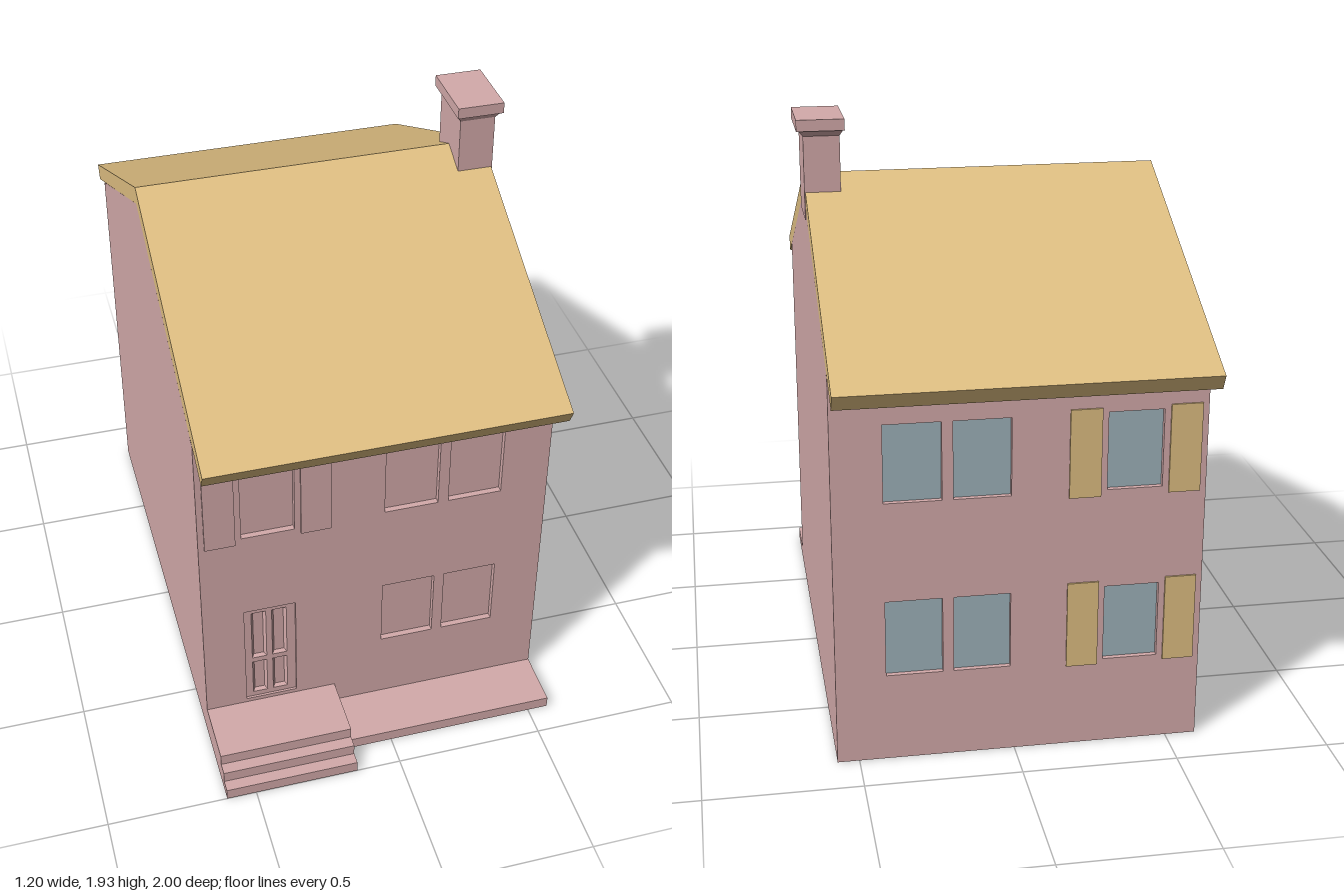
import * as THREE from 'three';

const PINK = new THREE.MeshStandardMaterial({ color: 0xd4abab });
const TAN = new THREE.MeshStandardMaterial({ color: 0xdfbf82 });
const GLASS = new THREE.MeshStandardMaterial({ color: 0x9fb3bb });

// House extents
const X0 = -0.6, X1 = 0.57, FRONT = 0.71, BACK = -0.85, RIDGE_Z = -0.0725;
const RECESS = 0.02, WALL_TOP = 1.295;

export function createModel() {
  const model = new THREE.Group();
  model.name = 'house';

  const add = (name, geometry, material, parent = model) => {
    const mesh = new THREE.Mesh(geometry, material);
    mesh.name = name;
    parent.add(mesh);
    return mesh;
  };

  // Box given by its extents
  const box = (name, x0, x1, y0, y1, z0, z1, material = PINK) => {
    const g = new THREE.BoxGeometry(x1 - x0, y1 - y0, z1 - z0);
    g.translate((x0 + x1) / 2, (y0 + y1) / 2, (z0 + z1) / 2);
    return add(name, g, material);
  };

  // Closed (z, y) profile extruded across the width of the house
  const acrossWidth = (points) => {
    const shape = new THREE.Shape(points.map(([z, y]) => new THREE.Vector2(-z, y)));
    const g = new THREE.ExtrudeGeometry(shape, { depth: X1 - X0, bevelEnabled: false });
    g.rotateY(Math.PI / 2);
    return g.translate(X0, 0, 0);
  };

  // Upright panel with rectangular openings [x0, x1, y0, y1]
  const corners = ([x0, x1, y0, y1]) =>
    [[x0, y0], [x1, y0], [x1, y1], [x0, y1]].map(([x, y]) => new THREE.Vector2(x, y));
  const panel = (name, rect, openings, z0, depth) => {
    const shape = new THREE.Shape(corners(rect));
    shape.holes = openings.map((o) => new THREE.Path(corners(o)));
    const g = new THREE.ExtrudeGeometry(shape, { depth, bevelEnabled: false });
    return add(name, g.translate(0, 0, z0), PINK);
  };

  // Four sloping sides joining two rectangular loops of corners
  const slopedSides = (loopA, loopB) => {
    const pos = [];
    for (let i = 0; i < 4; i++) {
      const j = (i + 1) % 4;
      pos.push(...loopA[i], ...loopA[j], ...loopB[j], ...loopA[i], ...loopB[j], ...loopB[i]);
    }
    const g = new THREE.BufferGeometry();
    g.setAttribute('position', new THREE.Float32BufferAttribute(pos, 3));
    g.computeVertexNormals();
    return g;
  };

  // Gabled core, set back behind the front and back walls
  const under = (z) => 1.675 - 0.487 * Math.abs(z - RIDGE_Z);
  const zf = FRONT - RECESS, zb = BACK + RECESS;
  add('gableWalls', acrossWidth([
    [zf, 0], [zb, 0], [zb, under(zb)], [RIDGE_Z, under(RIDGE_Z)], [zf, under(zf)],
  ]), PINK);

  // Openings
  const UP = [0.88, 1.135], LOW = [0.295, 0.55];
  const PAIR = [[0.015, 0.195], [0.23, 0.41]], SINGLE = [-0.46, -0.285];
  const door = [...SINGLE, 0.135, 0.55];
  const pairs = [UP, LOW].flatMap((y) => PAIR.map((x) => [...x, ...y]));
  const upperSingle = [...SINGLE, ...UP], lowerSingle = [...SINGLE, ...LOW];
  const backWindows = [...pairs, upperSingle, lowerSingle];
  const wall = [X0, X1, 0, WALL_TOP];
  panel('frontWall', wall, [...pairs, upperSingle, door], zf, RECESS);
  panel('backWall', wall, backWindows, BACK, RECESS);

  // Back window glass
  for (const [x0, x1, y0, y1] of backWindows) {
    box('windowGlass', x0, x1, y0, y1, zb - 0.003, zb + 0.005, GLASS);
  }

  // Shutters either side of the single windows
  for (const [x0, x1] of [[-0.58, -0.48], [-0.265, -0.165]]) {
    box('frontShutter', x0, x1, 0.86, 1.15, FRONT - 0.005, FRONT + 0.006);
    for (const y of [0.28, 0.86]) {
      box('backShutter', x0, x1, y, y + 0.29, BACK - 0.006, BACK + 0.005, TAN);
    }
  }

  // Door with four sunken, bevelled panels
  const doorPanels = [[-0.435, -0.385], [-0.365, -0.315]].flatMap((x) =>
    [[0.155, 0.3], [0.32, 0.53]].map((y) => [...x, ...y]));
  panel('door', door, doorPanels, zf, 0.012);
  for (const [x0, x1, y0, y1] of doorPanels) {
    const b = 0.008;
    const outer = corners([x0, x1, y0, y1]).map((p) => [p.x, p.y, zf + 0.012]);
    const inner = corners([x0 + b, x1 - b, y0 + b, y1 - b]).map((p) => [p.x, p.y, zf + 0.001]);
    add('doorPanelBevel', slopedSides(outer, inner), PINK);
  }

  // Roof slabs with square-cut eaves
  const half = 0.9275, cut = 0.024;
  add('roof', acrossWidth([
    [RIDGE_Z + half, 1.285], [RIDGE_Z, 1.736], [RIDGE_Z - half, 1.285],
    [RIDGE_Z - half + cut, 1.236], [RIDGE_Z, 1.675], [RIDGE_Z + half - cut, 1.236],
  ]), TAN);

  // Chimney: shaft, flared neck and cap
  box('chimneyShaft', 0.455, 0.573, 1.6, 1.875, -0.167, 0.028);
  const ring = (x0, x1, z0, z1, y) => [[x0, y, z1], [x1, y, z1], [x1, y, z0], [x0, y, z0]];
  add('chimneyNeck', slopedSides(
    ring(0.455, 0.573, -0.167, 0.028, 1.873),
    ring(0.443, 0.59, -0.183, 0.04, 1.895)), PINK);
  box('chimneyCap', 0.44, 0.595, 1.893, 1.93, -0.19, 0.045);

  // Front steps and path
  for (let i = 0; i < 3; i++) {
    box('step', X0, -0.15, i * 0.04, (i + 1) * 0.04, FRONT, 1 - i * 0.04);
  }
  box('path', -0.15, X1, 0, 0.04, FRONT, 0.9);

  return model;
}
